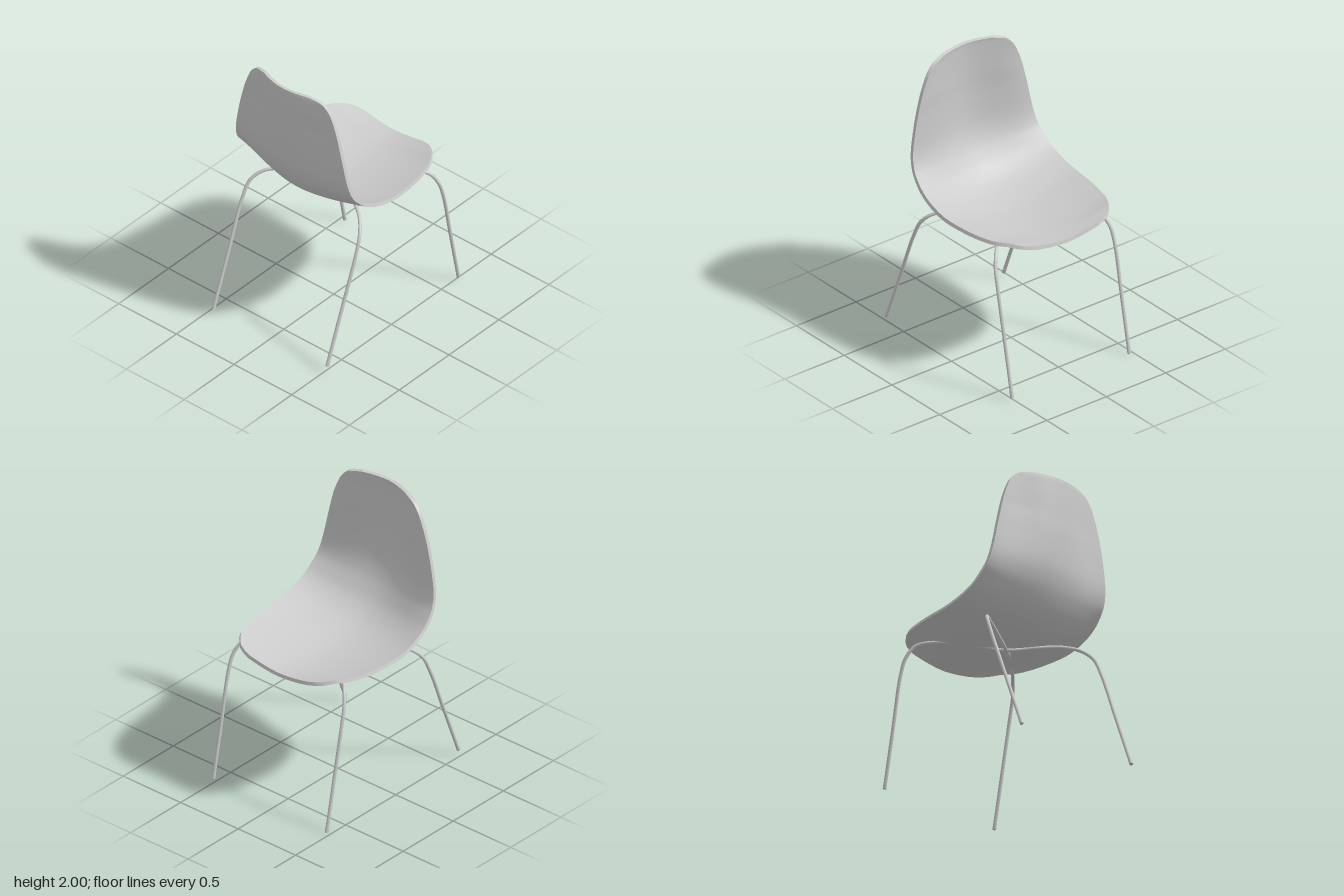
import * as THREE from 'three';

const material = new THREE.MeshStandardMaterial({ color: 0xcccccc, side: THREE.DoubleSide });

// Smooth surface through rows of points
function surface(name, rows) {
  const n = rows[0].length, index = [];
  for (let i = 0; i < rows.length - 1; i++)
    for (let j = 0; j < n - 1; j++) {
      const a = i * n + j, b = a + 1, d = a + n, c = d + 1;
      index.push(a, b, d, b, c, d);
    }
  const geometry = new THREE.BufferGeometry().setFromPoints(rows.flat());
  geometry.setIndex(index);
  geometry.computeVertexNormals();
  const mesh = new THREE.Mesh(geometry, material);
  mesh.name = name;
  return mesh;
}

// Shell stations from the top of the back to the front of the seat:
// centre z, centre y, half width, then how far the side edge moves in z and y
const stations = [
  [0.500, 2.000, 0.20, -0.09, 0], [0.503, 1.975, 0.29, -0.09, 0],
  [0.505, 1.925, 0.343, -0.09, 0], [0.507, 1.86, 0.376, -0.09, 0],
  [0.508, 1.76, 0.412, -0.09, 0], [0.507, 1.60, 0.452, -0.09, 0],
  [0.492, 1.40, 0.492, -0.085, 0], [0.462, 1.28, 0.510, -0.085, 0.01],
  [0.410, 1.18, 0.522, -0.085, 0.04], [0.330, 1.085, 0.530, -0.08, 0.07],
  [0.200, 1.010, 0.538, -0.06, 0.095], [0.000, 0.968, 0.540, 0, 0.105],
  [-0.200, 0.965, 0.523, 0, 0.10], [-0.350, 0.974, 0.493, 0, 0.09],
  [-0.450, 0.984, 0.455, 0, 0.085], [-0.545, 0.995, 0.38, 0, 0.08],
  [-0.582, 1.000, 0.32, 0, 0.08], [-0.600, 1.003, 0.25, 0, 0.08],
];
const centreCurve = new THREE.CatmullRomCurve3(
  stations.map(([z, y, w]) => new THREE.Vector3(w, y, z)), false, 'catmullrom');
const edgeCurve = new THREE.CatmullRomCurve3(
  stations.map(([, , , dz, dy]) => new THREE.Vector3(0, dy, dz)), false, 'catmullrom');

// Middle of the shell, u across (-1 to 1), s along (0 to 1)
function shellPoint(u, s) {
  const c = centreCurve.getPoint(s), e = edgeCurve.getPoint(s);
  const x = u * c.x, t = Math.abs(x) / Math.max(c.x, 0.42);
  const wave = (1 - Math.cos(Math.PI * t)) / 2;
  const f = THREE.MathUtils.lerp(wave, Math.pow(t, 1.7), THREE.MathUtils.smoothstep(s, 0.3, 0.6));
  const twist = x > 0 ? 0.82 : 1.1; // one wing wraps a little further forward
  return new THREE.Vector3(x, c.y + e.y * f, c.z + e.z * f * twist);
}

function makeShell() {
  const rows = 85, cols = 32, half = 0.0125, h = 1e-3;
  const inner = [], outer = [];
  for (let i = 0; i <= rows; i++) {
    const s = i / rows, a = [], b = [];
    for (let j = 0; j <= cols; j++) {
      const u = -1 + 2 * j / cols;
      const du = shellPoint(u + h, s).sub(shellPoint(u - h, s));
      const ds = shellPoint(u, Math.min(1, s + h)).sub(shellPoint(u, Math.max(0, s - h)));
      const n = du.cross(ds).normalize().multiplyScalar(half);
      const p = shellPoint(u, s);
      a.push(p.clone().add(n));
      b.push(p.clone().sub(n));
    }
    inner.push(a);
    outer.push(b);
  }
  // Outline of the shell, followed once around
  const loop = (g) => [
    ...g[0],
    ...g.slice(1).map((r) => r[cols]),
    ...g[rows].slice(0, cols).reverse(),
    ...g.slice(0, rows).reverse().map((r) => r[0]),
  ];
  const shell = new THREE.Group();
  shell.name = 'seatShell';
  shell.add(
    surface('shellInside', inner),
    surface('shellOutside', outer.map((r) => [...r].reverse())),
    surface('shellRim', [loop(outer), loop(inner)]),
  );
  return shell;
}

// Leg paths from foot to crossing: sideways, height, depth
const backLeg = [[0.4925, 0.04, 0.66], [0.4925, 0.43, 0.51], [0.4925, 0.78, 0.375],
  [0.475, 0.91, 0.315], [0.42, 0.975, 0.25], [0.33, 0.997, 0.18], [0.18, 0.98, 0.09]];
const frontLeg = [[0.4925, 0.015, -0.655], [0.4925, 0.4, -0.578], [0.4925, 0.78, -0.502],
  [0.48, 0.9, -0.465], [0.44, 0.978, -0.42], [0.37, 1.003, -0.35], [0.2, 0.985, -0.18]];

// One bent tube: a back leg, under the seat, to the opposite front leg
function makeLegTube(side) {
  const place = (sign) => ([x, y, z]) =>
    new THREE.Vector3(0.022 + sign * x, y + 0.02 * sign * x, z);
  const points = [
    ...backLeg.map(place(side)),
    new THREE.Vector3(0.022, 0.945, -0.015),
    ...frontLeg.map(place(-side)).reverse(),
  ];
  const group = new THREE.Group();
  group.name = side > 0 ? 'leftBackToRightFrontLegs' : 'rightBackToLeftFrontLegs';
  const tube = new THREE.Mesh(
    new THREE.TubeGeometry(new THREE.CatmullRomCurve3(points), 160, 0.012, 12), material);
  tube.name = 'legTube';
  group.add(tube);
  // Foot caps on both ends
  const last = points.length - 1;
  for (const [end, next] of [[points[0], points[1]], [points[last], points[last - 1]]]) {
    const direction = next.clone().sub(end).normalize();
    const foot = new THREE.Mesh(new THREE.CylinderGeometry(0.0128, 0.0128, 0.036, 12), material);
    foot.name = 'footCap';
    foot.quaternion.setFromUnitVectors(new THREE.Vector3(0, 1, 0), direction);
    foot.position.copy(end).addScaledVector(direction, 0.015);
    group.add(foot);
  }
  return group;
}

export function createModel() {
  const chair = new THREE.Group();
  chair.name = 'chair';
  chair.add(makeShell(), makeLegTube(1), makeLegTube(-1));
  return chair;
}
